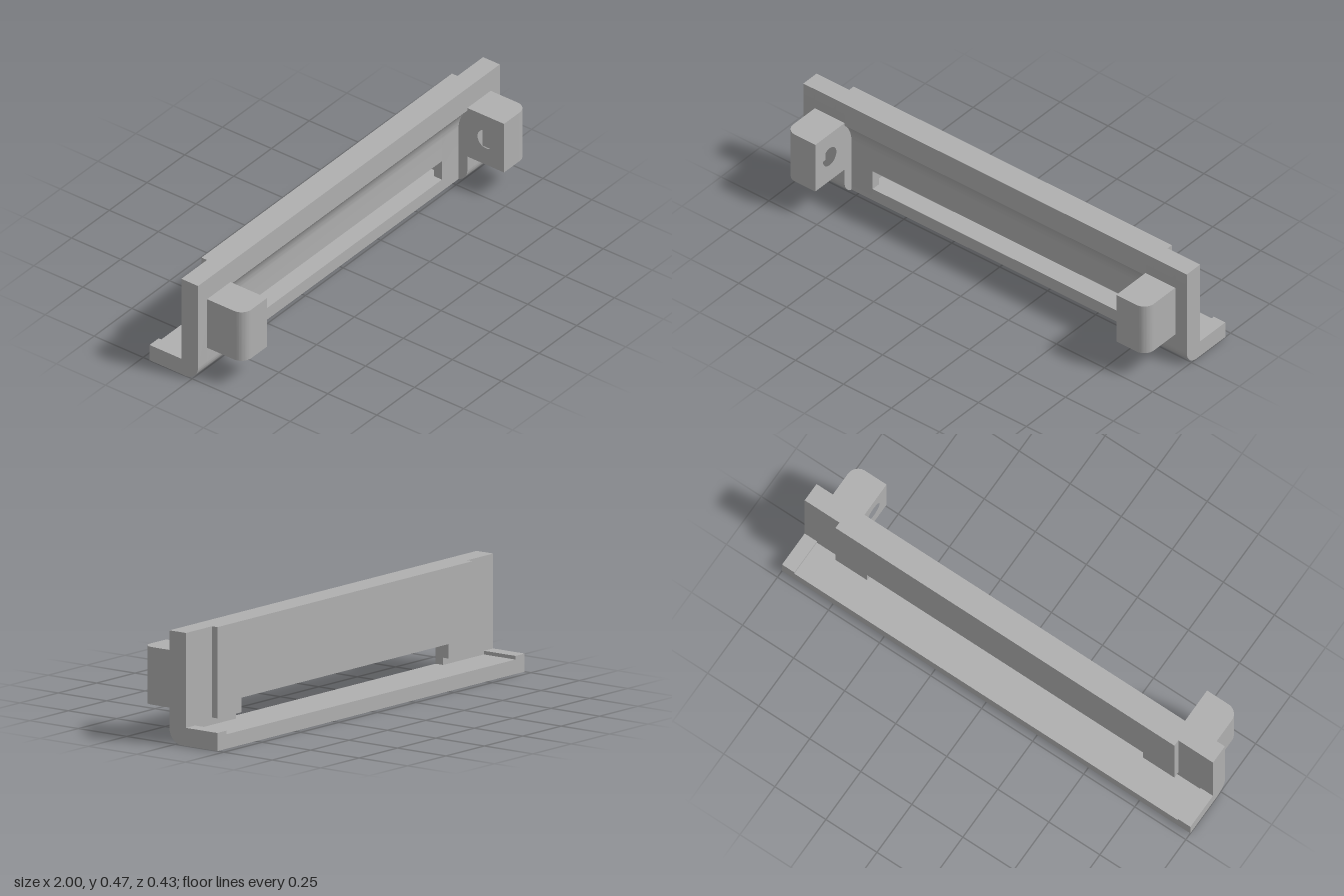
import * as THREE from 'three';
import { toCreasedNormals } from 'three/addons/utils/BufferGeometryUtils.js';

// Key z positions of the bracket
const FRONT = 0.03, RECESS = -0.015, WALL = -0.055, PANEL = -0.083, BACK = -0.217;
const TOP = 0.467, FLOOR = 0.06, PANEL_BOTTOM = 0.09;
const CORNER = 0.065;                       // rounded lower front edge
const GROOVE = { z: 0.135, y: 0.25, r: 0.15 }; // concave groove and bore axis

const arc = (cz, cy, r, a0, a1, n = 16) =>
  Array.from({ length: n + 1 }, (_, i) => {
    const a = a0 + (a1 - a0) * i / n;
    return [cz + r * Math.cos(a), cy + r * Math.sin(a)];
  });

const finish = g => toCreasedNormals(g, 0.5);

// Shape from [z, y] points; extruded along x it forms one slab
const profile = pts => new THREE.Shape(pts.map(([z, y]) => new THREE.Vector2(-z, y)));
function slab(shape, x0, x1) {
  const g = new THREE.ExtrudeGeometry(shape, { depth: x1 - x0, bevelEnabled: false, curveSegments: 24 });
  return finish(g.rotateY(Math.PI / 2).translate(x0, 0, 0));
}

export function createModel() {
  const group = new THREE.Group();
  const grey = new THREE.MeshStandardMaterial({ color: 0xb0b0b0 });
  grey.name = 'grey';
  const add = (name, geometry) => {
    const mesh = new THREE.Mesh(geometry, grey);
    mesh.name = name;
    group.add(mesh);
  };
  const addPair = (name, shape, x0, x1) => {
    add('left' + name, slab(shape, x0, x1));
    add('right' + name, slab(shape, -x1, -x0));
  };

  // Outlines shared by the cross-sections
  const roundedFront = [
    ...arc(FRONT - CORNER, CORNER, CORNER, -Math.PI / 2, 0), [FRONT, TOP]];
  const grooveEnd = Math.PI - Math.acos((GROOVE.z - FRONT) / GROOVE.r);
  const groove = [...arc(GROOVE.z, GROOVE.y, GROOVE.r, Math.PI, grooveEnd), [FRONT, TOP]];
  const recessedFront = [[FRONT - CORNER, 0], [RECESS, 0.003], ...groove];
  const flange = h => [[WALL, h], [BACK, h], [BACK, 0]];
  const panelBack = [[PANEL, TOP], [PANEL, PANEL_BOTTOM], [WALL, PANEL_BOTTOM], ...flange(FLOOR)];

  // Ends: raised flange tips, plain wall, then wall with the thick back panel
  addPair('EndTip', profile([...roundedFront, [WALL, TOP], ...flange(0.075)]), 0.94, 1);
  addPair('EndWall', profile([...roundedFront, [WALL, TOP], ...flange(FLOOR)]), 0.83, 0.94);
  addPair('PanelEdge', profile([...roundedFront, ...panelBack]), 0.785, 0.83);

  // Recessed wall beside the slot
  addPair('RecessWall', profile([...recessedFront, ...panelBack]), 0.675, 0.785);

  // Centre, divided by the long slot
  add('centrePanel', slab(profile(
    [[RECESS, 0.15], ...groove, [PANEL, TOP], [PANEL, 0.15]]), -0.675, 0.675));
  add('centreFlange', slab(profile(
    [[FRONT - CORNER, 0], [RECESS, 0.003], [RECESS, FLOOR], [BACK, FLOOR], [BACK, 0]]), -0.675, 0.675));

  // Front lugs: inner block with a blind bore, outer block with a rounded corner
  const y0 = 0.132, y1 = 0.37, tip = 0.217, split = 0.885, outer = 0.94, r = 0.05;
  const inner = profile([[FRONT, y0], [tip, y0], [tip, y1], [FRONT, y1]]);
  inner.holes.push(new THREE.Path().absarc(-0.125, 0.255, 0.043, 0, Math.PI * 2, true));
  addPair('LugBlock', inner, 0.785, split);

  for (const [side, s] of [['left', 1], ['right', -1]]) {
    const plan = [[split, FRONT], [outer, FRONT],
      ...arc(outer - r, tip - r, r, 0, Math.PI / 2), [split, tip]];
    const shape = new THREE.Shape(plan.map(([x, z]) => new THREE.Vector2(s * x, -z)));
    const g = new THREE.ExtrudeGeometry(shape, { depth: y1 - y0, bevelEnabled: false });
    add(side + 'LugCheek', finish(g.rotateX(-Math.PI / 2).translate(0, y0, 0)));
  }
  return group;
}
